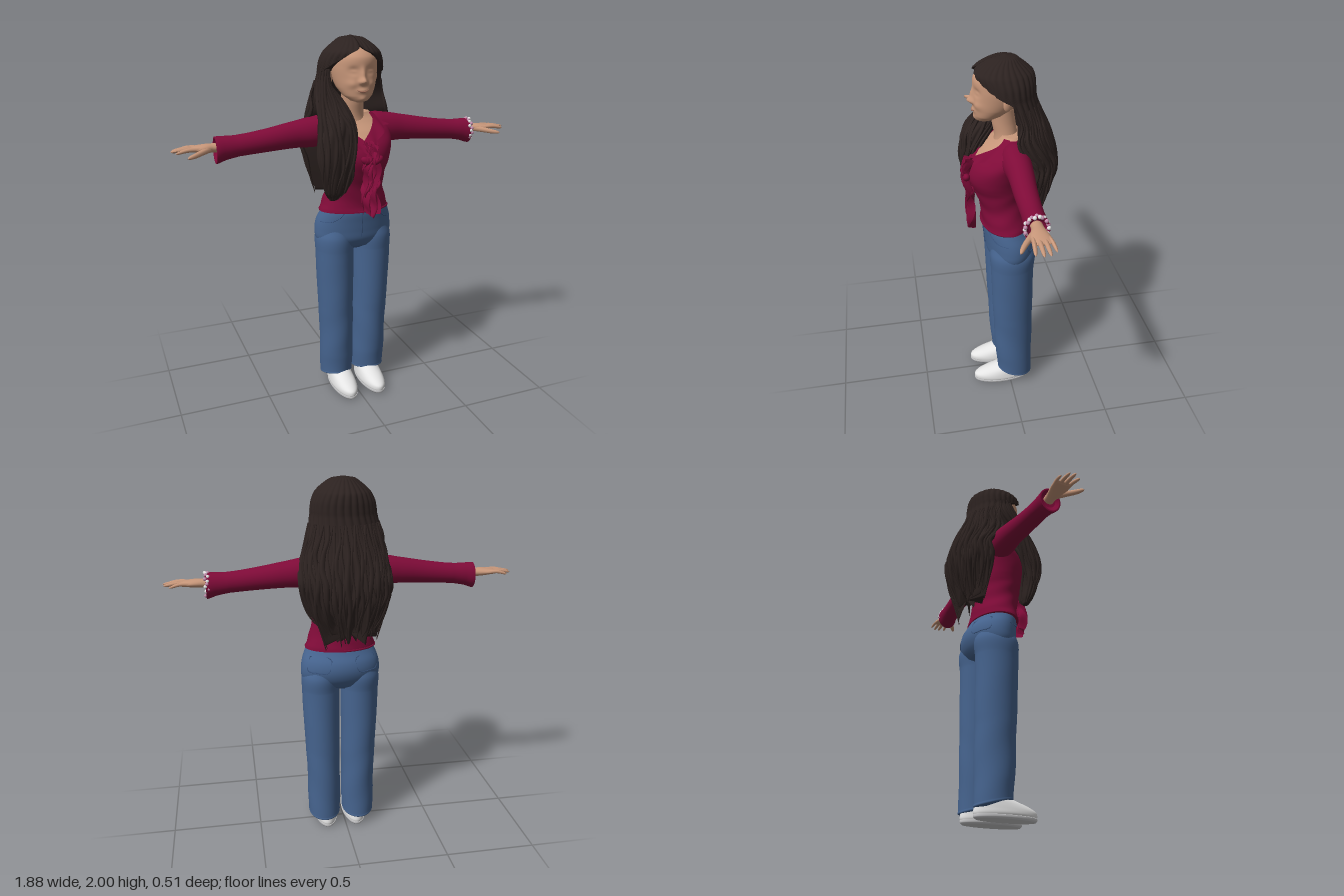
import * as THREE from 'three';
import { mergeGeometries } from 'three/addons/utils/BufferGeometryUtils.js';

const { sin, cos, abs, min, max, floor, sqrt, exp, PI } = Math;
function mat(name, color, side = THREE.FrontSide) {
  return Object.assign(new THREE.MeshStandardMaterial({ color, side }), { name });
}
// Smooth interpolation through a list of sections; u is 0..1 over the list
function at(secs, u) {
  const n = secs.length - 1, i = min(n - 1, floor(u * n)), f = u * n - i;
  const a = secs[max(0, i - 1)], b = secs[i], c = secs[i + 1], d = secs[min(n, i + 2)];
  return b.map((q, k) => {
    if (k === 0) return q + (c[0] - q) * f;
    const cubic = 3 * (q - c[k]) + d[k] - a[k], square = 2 * a[k] - 5 * q + 4 * c[k] - d[k];
    return q + 0.5 * f * (c[k] - a[k] + f * (square + f * cubic));
  });
}
// Same, addressed by the first value of the sections
function atValue(secs, t) {
  const n = secs.length - 1, s = Math.sign(secs[n][0] - secs[0][0]);
  let i = 0;
  while (i < n - 1 && (t - secs[i + 1][0]) * s > 0) i++;
  return at(secs, min(1, max(0, (i + (t - secs[i][0]) / (secs[i + 1][0] - secs[i][0])) / n)));
}
// Surface from fn(u, v) -> [x, y, z], wrapped in v and capped unless open
function surf(fn, rows, cols, wrap = true, cap = wrap) {
  const idx = [], w = wrap ? cols : cols + 1;
  const rings = Array.from({ length: rows + 1 }, (_, i) => Array.from({ length: w }, (_, j) => fn(i / rows, j / cols)));
  const collapse = r => r.map(() => [0, 1, 2].map(k => r.reduce((sum, p) => sum + p[k], 0) / w));
  if (cap) {
    rings.unshift(collapse(rings[0]));
    rings.push(collapse(rings.at(-1)));
  }
  for (let i = 0; i < rings.length - 1; i++) for (let j = 0; j < cols; j++) {
    const a = i * w + j, b = i * w + (j + 1) % w;
    idx.push(a, b, a + w, b, b + w, a + w);
  }
  // turn the faces outward
  const pts = rings.flat().map(p => new THREE.Vector3(...p)), mid = pts[0].clone().lerp(pts.at(-1), 0.5);
  const P = i => pts[idx[i]].clone().sub(mid);
  let volume = 0;
  for (let i = 0; i < idx.length; i += 3) volume += P(i).dot(P(i + 1).cross(P(i + 2)));
  if (volume < 0) idx.reverse();
  const g = new THREE.BufferGeometry().setFromPoints(pts).setIndex(idx);
  g.computeVertexNormals();
  return g;
}
// Lofts: sections [y, cx, cz, rx, rz] upright, or [x, cy, cz, ry, rz] sideways
const ring = ([y, cx, cz, rx, rz], a, k = 1) => [cx + rx * k * sin(a), y, cz + rz * k * cos(a)];
const loftY = (secs, rows = 32, cols = 40) => surf((u, v) => ring(at(secs, u), v * 2 * PI), rows, cols);
const loftX = (secs, s, rows = 28) => surf((u, v) => {
  const [y, x, z] = ring(at(secs, u), v * 2 * PI);
  return [s * x, y, z];
}, rows, 28);
// Round strand along points whose radius follows a rule
function taper(points, r, rule, seg = 20, sides = 7) {
  const curve = new THREE.CatmullRomCurve3(points.map(p => new THREE.Vector3(...p)));
  const g = new THREE.TubeGeometry(curve, seg, r, sides), p = g.attributes.position, v = new THREE.Vector3();
  for (let i = 0; i < p.count; i++) {
    const t = floor(i / (sides + 1)) / seg, c = curve.getPointAt(t);
    v.fromBufferAttribute(p, i).sub(c).multiplyScalar(rule(t)).add(c);
    p.setXYZ(i, v.x, v.y, v.z);
  }
  g.computeVertexNormals();
  return g;
}
const fingerRule = t => max(0.02, sqrt(max(0, 1 - t ** 8)) * (1 - 0.3 * t));
const lockRule = t => 0.15 + 0.85 * sin(PI * min(1, 0.1 + t * 0.9));

const TORSO = [[1.09, .015, .01, .196, .13], [1.12, .015, .01, .186, .126], [1.2, .015, .02, .16, .122], [1.28, .015, .035, .158, .133],
  [1.38, .015, .05, .178, .155], [1.45, .015, .043, .195, .143], [1.52, .015, .01, .2, .112], [1.57, .015, -.015, .165, .082], [1.61, .015, -.02, .1, .062]];
const HIPS = [[1.125, .02, .012, .172, .115], [1.08, .02, .004, .192, .126], [1.03, .02, -.012, .211, .137], [.98, .02, -.018, .219, .138],
  [.93, .02, -.015, .216, .128], [.885, .02, -.013, .19, .1], [.86, .02, -.013, .12, .06]];
const LEG = [[1, .1, -.015, .09, .11], [.93, .108, -.015, .107, .124], [.85, .109, -.013, .106, .118], [.6, .106, -.016, .1, .114],
  [.4, .101, -.02, .095, .11], [.2, .099, -.024, .094, .106], [.09, .099, -.03, .092, .1], [.075, .099, -.03, .09, .098], [.075, .099, -.03, .06, .06]];
const HEAD = [[1.675, .005, .11, .015, .02], [1.685, .005, .105, .045, .045], [1.71, .005, .085, .076, .075], [1.75, .005, .055, .1, .107],
  [1.8, .005, .035, .114, .128], [1.85, .005, .03, .12, .132], [1.9, .005, .03, .115, .128], [1.94, .005, .022, .092, .104], [1.97, .005, .02, .04, .05]];
// The sixth value is half the angle left open around the face
const HAIR = [[2, 0, .0, .008, .008, 0], [1.99, 0, .005, .06, .06, 0], [1.97, 0, .015, .09, .095, 0], [1.945, 0, .018, .12, .128, 0.05],
  [1.92, 0, .015, .143, .15, .4], [1.88, 0, .005, .162, .15, .75], [1.84, 0, 0, .17, .147, 1.15], [1.8, 0, -.005, .175, .147, 1.6],
  [1.7, 0, -.03, .198, .152, 1.65], [1.6, .005, -.05, .215, .172, 1.45], [1.5, .005, -.08, .238, .17, 1.75], [1.4, 0, -.08, .232, .175, 1.7],
  [1.3, 0, -.075, .2, .155, 1.75], [1.21, -.01, -.08, .16, .115, 1.9]];
const FRONT_HAIR = [[1.84, -.145, .01, .022, .04], [1.75, -.155, .02, .035, .06], [1.66, -.13, .06, .07, .065], [1.58, -.118, .12, .085, .07],
  [1.5, -.13, .15, .095, .06], [1.4, -.138, .17, .095, .05], [1.3, -.135, .165, .08, .04], [1.22, -.14, .15, .055, .03], [1.18, -.15, .14, .02, .015]];
// Soft bumps: x offset, y, widths and height for nose, eyes, cheeks, lips and chin
const FACE = [[0, 1.785, .017, .016, .026], [0, 1.815, .013, .03, .013], [.016, 1.78, .009, .009, .008], [.045, 1.835, .024, .018, -.013],
  [.045, 1.833, .018, .01, .007], [.055, 1.77, .024, .02, .008], [0, 1.738, .03, .012, .008], [0, 1.695, .022, .014, .007]];
const features = (x, y) => FACE.reduce((sum, [fx, fy, sx, sy, h]) =>
  sum + h * exp(-(((abs(x - .005) - fx) / sx) ** 2 + ((y - fy) / sy) ** 2)), 0);

function hairPoint(u, w, k = 1) {
  const s = at(HAIR, u), a0 = max(0, s[5]), a = a0 + (2 * PI - 2 * a0) * w;
  const p = ring(s, a, k * (0.98 + 0.05 * abs(sin(a * 14 + 1.5 * sin(s[0] * 11)))));
  p[1] -= 0.04 * u ** 8 * (sin(a * 9) + 0.6 * sin(a * 23));
  return p;
}
const frontPoint = (u, a) => ring(at(FRONT_HAIR, u), a, .93 + .12 * abs(sin(a * 6 + 4 * u)));
const blousePoint = (y, a, k) => ring(atValue(TORSO, y), a, k);
const neckline = a => min(1.6, 1.48 + (cos(a) > 0 ? 0.16 * abs(sin(a)) : 1));

export function createModel() {
  const root = new THREE.Group();
  const skin = mat('skin', 0xc8977a), lips = mat('lips', 0xa4705c), hair = mat('dark hair', 0x2c2220, THREE.DoubleSide);
  const cloth = mat('crimson cloth', 0x7f0b38, THREE.DoubleSide), denim = mat('denim', 0x46648f), seam = mat('dark denim', 0x38527a);
  const white = mat('white', 0xe4e4e4), grey = mat('grey sole', 0xc9c9cb), pink = mat('pink beads', 0xc58fae);
  const add = (name, geo, m) => {
    const mesh = new THREE.Mesh(Array.isArray(geo) ? mergeGeometries(geo) : geo, m);
    mesh.name = name;
    root.add(mesh);
  };

  // Head, neck and chest
  add('head', surf((u, v) => {
    const c = cos(v * 2 * PI), p = ring(at(HEAD, u), v * 2 * PI);
    p[2] += features(p[0], p[1]) * min(1, max(0, 2 * c));
    return p;
  }, 72, 110), skin);
  add('neck', loftY([[1.5, .01, .0, .1, .08], [1.56, .01, -.005, .08, .068], [1.6, .01, 0, .063, .06], [1.66, .008, .01, .058, .06], [1.74, .005, .02, .06, .06]]), skin);
  add('chest', loftY(TORSO.slice(4).map(([y, x, z, rx, rz]) => [y, x, z, rx - .006, rz - .006])), skin);
  add('smile', taper([-.032, -.016, 0, .016, .032].map(x => {
    const y = 1.733 + 9 * x * x, [, , cz, rx, rz] = atValue(HEAD, y);
    return [x + .005, y, cz + rz * sqrt(1 - (x / rx) ** 2) + features(x + .005, y)];
  }), .0035, t => 0.3 + sin(PI * t), 16, 6), lips);
  for (const s of [-1, 1])
    add('ear', new THREE.SphereGeometry(1, 16, 12).scale(.013, .036, .022).rotateY(s * .3).translate(.005 + s * .122, 1.795, .012), skin);

  // Hair: main mass, hanging strands, and locks brought forward over the right shoulder
  add('hairMass', surf((u, v) => v < .8 ? hairPoint(u, v / .8) : hairPoint(u, (1 - v) / .2, .5), 64, 250), hair);
  add('backStrands', Array.from({ length: 30 }, (_, j) => taper(Array.from({ length: 9 }, (_, k) => {
    const p = hairPoint(.56 + .055 * k, j / 29 + .01 * sin(k * 1.7 + j * 2.1));
    return [p[0], p[1] - (k === 8 ? .015 + .02 * sin(j * 5.3) : 0), p[2]];
  }), .011 + .004 * sin(j * 3.7), lockRule, 24, 6)), hair);
  add('frontHair', surf((u, v) => frontPoint(u, v * 2 * PI), 40, 72), hair);
  add('frontLocks', Array.from({ length: 15 }, (_, j) => taper(Array.from({ length: 9 }, (_, k) =>
    frontPoint(k / 8 * (.9 + .1 * sin(j * 4.1)), j / 15 * 2 * PI + .22 * sin(k * 1.4 + j))), .012, lockRule, 28, 6)), hair);

  // Blouse: body with a scooped neckline, flounce, hanging ruffles and bow
  add('blouse', surf((u, v) => {
    const a = v * 2 * PI, y = 1.09 + (neckline(a) - 1.09) * u;
    return blousePoint(y, a, 1 + .012 * sin(y * 60 + 2 * sin(a * 2)) * (y < 1.32 ? 1 : .3));
  }, 48, 80, true, false), cloth);
  add('blouseHem', loftY([[1.089, .015, .01, .15, .1], [1.09, .015, .01, .196, .13], [1.1, .015, .01, .193, .129]], 4, 48), cloth);
  add('neckFlounce', surf((u, v) => {
    const a = -1.3 + 2.6 * u;
    return blousePoint(neckline(a) + .004 - .065 * v, a, 1.015 + .05 * v * (1 + sin(a * 13)));
  }, 80, 8, false), cloth);
  [[.015, 1.1, .05], [.055, 1.085, .055], [.035, 1.2, .075]].forEach(([x0, end, w], i) => add('hangingRuffle', surf((u, v) => [
    x0 + (v - .5) * w * (.6 + .6 * u) + .01 * sin(u * 14 + i * 2),
    1.475 + (end - 1.475) * u + .012 * sin(v * 7 + i),
    .196 + .022 * sin(PI * min(1, u * 2.2)) + .022 * sin(v * 9 + u * 9 + i * 2)], 40, 16, false), cloth));
  for (const s of [-1, 1])
    add('bowLoop', new THREE.SphereGeometry(1, 16, 10).scale(.034, .02, .02).rotateZ(s * .5).translate(.035 + s * .03, 1.39, .215), cloth);

  // Arms and hands
  for (const s of [-1, 1]) {
    add('sleeve', loftX([[.08, 1.525, -.02, .06, .06], [.14, 1.525, -.02, .076, .07], [.2, 1.515, -.02, .08, .072], [.3, 1.507, -.02, .07, .064],
      [.45, 1.49, -.013, .06, .057], [.6, 1.475, -.01, .055, .052], [.67, 1.468, -.008, .061, .054], [.72, 1.46, -.007, .069, .058],
      [.721, 1.46, -.007, .06, .05], [.7, 1.465, -.007, .035, .035]], s, 45), cloth);
    add('hand', loftX([[.66, 1.472, -.006, .025, .028], [.73, 1.474, -.006, .023, .029], [.77, 1.475, -.002, .022, .04],
      [.81, 1.476, -.002, .017, .046], [.845, 1.476, -.003, .012, .042], [.855, 1.476, -.003, .004, .03]], s), skin);
    const fingers = [[-.036, .905, 1.466, -.05, .0105], [-.014, .935, 1.47, -.018, .012], [.009, .94, 1.472, .012, .0125], [.03, .92, 1.468, .045, .012]];
    add('fingers', fingers.map(([z0, x, y, z1, r]) =>
      taper([[s * .8, 1.476, z0], [s * (.4 + x / 2), 1.479, (z0 + z1) / 2], [s * x, y, z1]], r, fingerRule, 14, 10)), skin);
    add('thumb', taper([[s * .745, 1.472, .008], [s * .79, 1.466, .045], [s * .835, 1.458, .078], [s * .872, 1.452, .098]], .016, fingerRule, 16, 10), skin);
  }

  // Beaded bracelet on the left wrist
  for (let j = 0; j < 28; j++) {
    const a = j / 28 * 2 * PI, bead = new THREE.SphereGeometry(.01, 8, 6);
    add('braceletBead', bead.translate(.715 + .008 * sin(j * 2.4), 1.467 + .06 * sin(a), -.005 + .053 * cos(a)), j % 2 ? pink : white);
  }

  // Jeans with seams, and shoes
  add('jeansHips', loftY(HIPS, 36, 56), denim);
  const stitch = pts => taper(pts.map(([y, a]) => ring(atValue(HIPS, y), a, 1.002)), .003, () => 1, 24, 5);
  add('flySeam', stitch([[1.11, 0], [1.06, 0], [1, 0], [.95, 0]]), seam);
  for (const s of [-1, 1]) {
    add('trouserLeg', surf((u, v) => {
      const a = v * 2 * PI, [y, d, cz, rx, rz] = at(LEG, u), k = 1 + .012 * sin(y * 24 + 2 * a) * (y < .5 ? 1 : .3);
      return [.02 + s * (d + rx * k * sin(a)), y + max(0, .3 - y) * .1 * cos(a), cz + rz * k * cos(a)];
    }, 60, 44), denim);
    const pockets = [[[1.09, .55], [1.06, .65], [1.035, .9], [1.03, 1.3]], [[1.06, 2.1], [1.055, 2.8], [.985, 2.75], [.98, 2.4], [.985, 2.1], [1.06, 2.1]]];
    add('pocketSeams', pockets.map(line => stitch(line.map(([y, a]) => [y, s * a]))), seam);
    const x = .02 + s * .086;
    add('shoe', loftY([[.014, x, .042, .064, .168], [.03, x, .042, .068, .172], [.05, x, .04, .066, .168], [.07, x, .025, .062, .148],
      [.09, x, .002, .056, .115], [.115, x, -.025, .045, .08]]), white);
    add('sole', loftY([[0, x, .042, .06, .163], [.008, x, .042, .067, .171], [.02, x, .042, .068, .172]], 8), grey);
  }
  return root;
}
